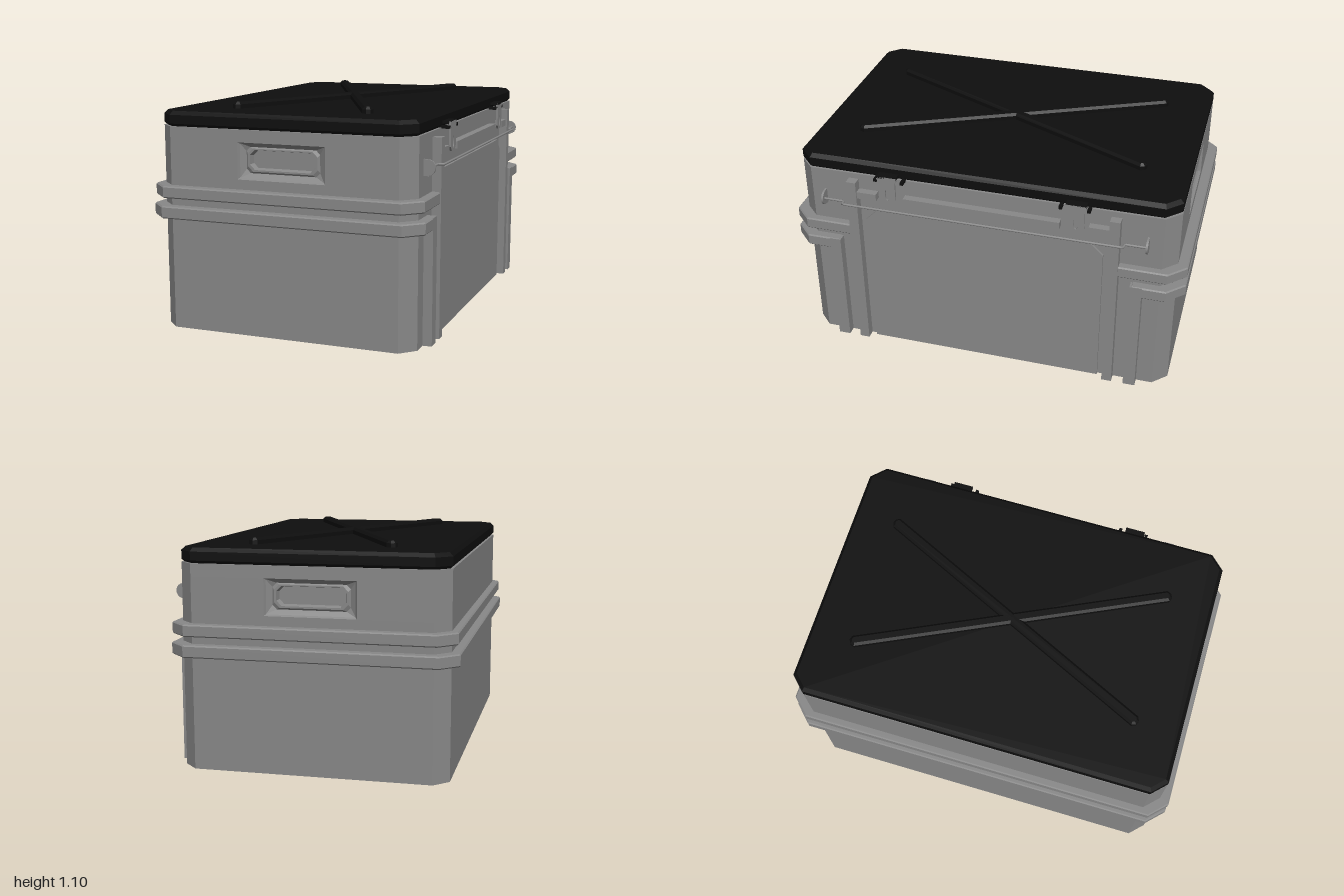
import * as THREE from 'three';

const grey = new THREE.MeshStandardMaterial({ color: 0x888888 });
grey.name = 'grey shell';
const black = new THREE.MeshStandardMaterial({ color: 0x0e0e0e });
black.name = 'black lid';

// Polygon shape from [x, y] pairs
const poly = (pts) => new THREE.Shape(pts.map(([x, y]) => new THREE.Vector2(x, y)));

// Rectangle with chamfered corners, counter-clockwise
const chamfered = (x0, x1, y0, y1, c) => [
  [x0 + c, y0], [x1 - c, y0], [x1, y0 + c], [x1, y1 - c],
  [x1 - c, y1], [x0 + c, y1], [x0, y1 - c], [x0, y0 + c]];

// Plan outline extruded upwards from y0 to y1
function slab(pts, y0, y1, bevel = 0) {
  const geo = new THREE.ExtrudeGeometry(poly(pts), {
    depth: y1 - y0 - 2 * bevel, bevelEnabled: bevel > 0, bevelSize: bevel,
    bevelThickness: bevel, bevelOffset: -bevel, bevelSegments: 1 });
  return geo.rotateX(-Math.PI / 2).translate(0, y0 + bevel, 0);
}

// Side-view outline in [z, y], extruded in x from x0 to x1
function sidePlate(pts, x0, x1, hole) {
  const shape = poly(pts.map(([z, y]) => [-z, y]));
  if (hole) shape.holes.push(hole);
  return new THREE.ExtrudeGeometry(shape, { depth: x1 - x0, bevelEnabled: false })
    .rotateY(Math.PI / 2).translate(x0, 0, 0);
}

const box = (x0, x1, y0, y1, z0, z1) => new THREE.BoxGeometry(x1 - x0, y1 - y0, z1 - z0)
  .translate((x0 + x1) / 2, (y0 + y1) / 2, (z0 + z1) / 2);

// Flat-faced skin joining successive loops, closed by a cap on the last one
function loft(loops) {
  const v = [];
  const n = loops[0].length;
  for (let k = 0; k < loops.length - 1; k++) {
    for (let i = 0; i < n; i++) {
      const j = (i + 1) % n;
      const [a, b, c, d] = [loops[k][i], loops[k][j], loops[k + 1][j], loops[k + 1][i]];
      v.push(...a, ...b, ...c, ...a, ...c, ...d);
    }
  }
  const last = loops[loops.length - 1];
  for (let i = 1; i < n - 1; i++) v.push(...last[0], ...last[i], ...last[i + 1]);
  const geo = new THREE.BufferGeometry();
  geo.setAttribute('position', new THREE.Float32BufferAttribute(v, 3));
  geo.computeVertexNormals();
  return geo;
}

export function createModel() {
  const root = new THREE.Group();
  root.name = 'storageCase';
  const add = (name, geo, mat = grey, parent = root) => {
    const mesh = new THREE.Mesh(geo, mat);
    mesh.name = name;
    parent.add(mesh);
    return mesh;
  };

  // Body, with notches in both ends behind the recessed grips
  const X0 = -0.66, X1 = 0.63, Z = 0.95, C = 0.07;
  const gx0 = -0.235, gx1 = 0.205, gy0 = 0.755, gy1 = 0.93, depth = 0.06;
  const plan = chamfered(X0, X1, -Z, Z, C);
  const notched = [
    plan[0], [gx0, -Z], [gx0, depth - Z], [gx1, depth - Z], [gx1, -Z], ...plan.slice(1, 5),
    [gx1, Z], [gx1, Z - depth], [gx0, Z - depth], [gx0, Z], ...plan.slice(5)];
  add('bodyLower', slab(plan, 0, gy0));
  add('bodyGripLayer', slab(notched, gy0, gy1));
  add('bodyUpper', slab(plan, gy1, 0.99));

  // Recessed grips: sloped frame, raised rim and deep centre
  const gripSteps = [[0, 0, 0], [0.008, 0, 0.012], [0.034, 0.02, 0.03], [0.044, 0.025, 0.022],
    [0.054, 0.025, 0.022], [0.062, 0.022, 0.05]];
  const grip = loft(gripSteps.map(([inset, corner, d]) =>
    chamfered(gx0 + inset, gx1 - inset, gy0 + inset * 0.85, gy1 - inset * 0.65, Math.max(corner, 0.001))
      .map(([x, y]) => [x, y, Z - d])));
  add('frontGrip', grip);
  const midX = (gx0 + gx1) / 2;
  const backGrip = add('backGrip', grip);
  backGrip.rotation.y = Math.PI;
  backGrip.position.x = 2 * midX;

  // Lid with crossed ribs
  add('lid', slab(plan, 0.985, 1.063, 0.018), black);
  for (const s of [-1, 1]) {
    const rib = add('lidRib', slab(chamfered(-0.027, 0.027, -0.81, 0.81, 0.016), 1.04, 1.095, 0.012), black);
    rib.rotation.y = s * Math.atan2(0.345, 0.73);
    rib.position.x = -0.012;
  }

  // Bands that wrap three sides and stop at the uprights on the right
  const band = (xa, xb, end, y0, y1) => {
    const c = 0.085;
    const pts = [
      [xb, -end], [0.6, -end], [0.6, -0.87], [0.54, -0.93], [-0.57, -0.93], [-0.64, -0.86],
      [-0.64, 0.86], [-0.57, 0.93], [0.54, 0.93], [0.6, 0.87], [0.6, end], [xb, end],
      [xb, 1 - c], [xb - c, 1], [xa + c, 1], [xa, 1 - c],
      [xa, c - 1], [xa + c, -1], [xb - c, -1], [xb, c - 1]];
    return slab(pts, y0, y1, 0.006);
  };
  add('upperBand', band(-0.695, 0.67, 0.65, 0.65, 0.708));
  add('lowerBand', band(-0.705, 0.675, 0.745, 0.55, 0.61));

  // Raised panel and rail on the right side
  add('sidePanel', sidePlate(
    [[-0.6, 0], [0.6, 0], [0.6, 0.74], [0.54, 0.8], [-0.54, 0.8], [-0.6, 0.74]].reverse(), 0.62, 0.643));
  add('latchRail', box(0.62, 0.668, 0.872, 0.908, -0.39, 0.39));

  // Paired fittings on the right side
  for (const s of [-1, 1]) {
    const side = new THREE.Group();
    side.name = s > 0 ? 'frontFittings' : 'backFittings';
    root.add(side);
    const mirrored = (x0, x1, y0, y1, z0, z1) =>
      box(x0, x1, y0, y1, Math.min(s * z0, s * z1), Math.max(s * z0, s * z1));
    add('tallUpright', mirrored(0.6, 0.675, 0, 0.962, 0.63, 0.68), grey, side);
    add('shortUpright', mirrored(0.6, 0.675, 0, 0.608, 0.74, 0.8), grey, side);
    add('railStub', mirrored(0.62, 0.668, 0.872, 0.908, 0.53, 0.63), grey, side);
    for (const z of [0.392, 0.528]) {
      add('latchLug', mirrored(0.62, 0.668, 0.985, 1.0, z - 0.008, z + 0.008), black, side);
    }

    // Latch plate with a slot, hooked to the lid
    const zc = s * 0.468;
    const slot = new THREE.Path();
    slot.absellipse(-zc, 0.918, 0.011, 0.03, 0, Math.PI * 2, true);
    add('latchPlate', sidePlate([
      [zc + 0.05, 1.018], [zc + 0.05, 1.0], [zc + 0.042, 0.99], [zc + 0.042, 0.895],
      [zc + 0.025, 0.875], [zc - 0.025, 0.875], [zc - 0.042, 0.895], [zc - 0.042, 0.99],
      [zc - 0.05, 1.0], [zc - 0.05, 1.018]], 0.66, 0.67, slot), grey, side);
    add('latchHook', box(0.62, 0.67, 1.008, 1.02, zc - 0.05, zc + 0.05), black, side);

    // Thin round-nosed ear that carries the bail handle
    const ear = poly([[0.62, 0.802], [0.655, 0.802]]);
    ear.absarc(0.65, 0.841, 0.037, -Math.PI / 2, Math.PI / 2, false);
    ear.lineTo(0.62, 0.88);
    add('handleEar', new THREE.ExtrudeGeometry(ear, { depth: 0.01, bevelEnabled: false, curveSegments: 8 })
      .translate(0, 0, s * 0.81 - 0.005), grey, side);
  }

  // Bail handle
  const bail = new THREE.CurvePath();
  const points = [[0.665, 0.815], [0.665, 0.705], [0.693, 0.7], [0.693, -0.7], [0.665, -0.705], [0.665, -0.815]]
    .map(([x, z]) => new THREE.Vector3(x, 0.842, z));
  for (let i = 0; i < points.length - 1; i++) bail.add(new THREE.LineCurve3(points[i], points[i + 1]));
  add('bailHandle', new THREE.TubeGeometry(bail, 160, 0.006, 8, false));

  return root;
}
